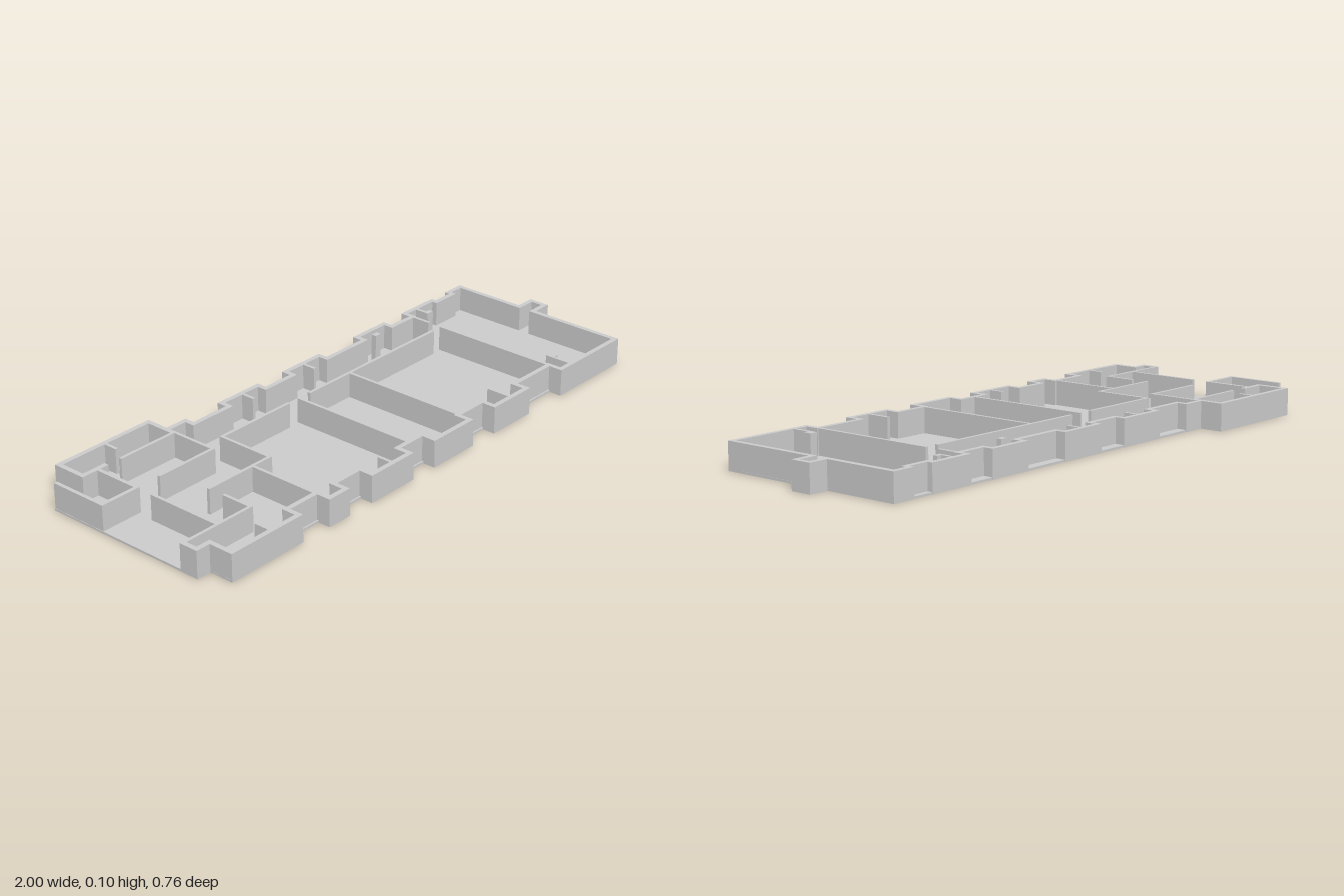
import * as THREE from 'three';

const TOP = 0.093, SLAB = 0.007, OUTER = 0.017, INNER = 0.011;

export function createModel() {
  const model = new THREE.Group();
  const mat = new THREE.MeshStandardMaterial({ color: 0xcccccc, flatShading: true });

  function box(name, parent, x0, x1, y0, y1, z0, z1) {
    const mesh = new THREE.Mesh(new THREE.BoxGeometry(x1 - x0, y1 - y0, z1 - z0), mat);
    mesh.position.set((x0 + x1) / 2, (y0 + y1) / 2, (z0 + z1) / 2);
    mesh.name = name;
    parent.add(mesh);
  }

  // Straight wall between two plan points, squared off past both ends
  function wall(name, parent, a, b, t, y0) {
    const h = t / 2;
    box(name, parent,
      Math.min(a[0], b[0]) - h, Math.max(a[0], b[0]) + h, y0, TOP,
      Math.min(a[1], b[1]) - h, Math.max(a[1], b[1]) + h);
  }

  function wallRun(name, points, t, y0) {
    const group = new THREE.Group();
    group.name = name;
    for (let i = 1; i < points.length; i++) wall(name + 'Segment', group, points[i - 1], points[i], t, y0);
    model.add(group);
  }

  // Plan outline that steps between a bay line and a recess line
  function stepped(recesses, bayZ, recessZ, inset) {
    const points = [];
    for (const [a, b] of recesses) {
      points.push([a - inset, bayZ], [a - inset, recessZ], [b + inset, recessZ], [b + inset, bayZ]);
    }
    return points;
  }

  const frontRecesses = [[-0.652, -0.536], [-0.447, -0.345], [-0.152, -0.05], [0.141, 0.251], [0.435, 0.607]];
  const backRecesses = [[-0.447, -0.302], [-0.118, -0.002], [0.178, 0.352], [0.512, 0.607]];

  // Floor slab, notched along the front recesses
  const outline = [
    [-0.999, -0.302], [-0.999, 0.292], [-0.948, 0.292], [-0.948, 0.379],
    ...stepped(frontRecesses, 0.379, 0.336, 0),
    [0.931, 0.379], [0.931, -0.302],
  ];
  const shape = new THREE.Shape(outline.map(([x, z]) => new THREE.Vector2(x, -z)));
  const slab = new THREE.ExtrudeGeometry(shape, { depth: SLAB, bevelEnabled: false });
  slab.rotateX(-Math.PI / 2);
  const floor = new THREE.Mesh(slab, mat);
  floor.name = 'floor';
  model.add(floor);
  box('backRoomFloor', model, -0.91, -0.537, 0, SLAB, -0.375, -0.302);
  box('alcoveFloor', model, 0.931, 0.99, 0, SLAB, -0.032, 0.026);

  // Outer walls
  wallRun('frontWall', [
    [-0.991, 0.235], [-0.991, 0.285], [-0.939, 0.285], [-0.939, 0.371],
    ...stepped(frontRecesses, 0.371, 0.322, 0.008),
    [0.922, 0.371],
  ].map(([x, z]) => [x, z]), OUTER, 0);
  wallRun('leftEndWall', [
    [0.922, 0.371], [0.922, 0.026], [0.991, 0.026], [0.991, -0.032], [0.922, -0.032], [0.922, -0.295],
  ], OUTER, 0);
  wallRun('backWall', [
    [-0.537, -0.295],
    ...stepped(backRecesses, -0.295, -0.26, 0.008),
    [0.764, -0.295], [0.764, -0.276], [0.855, -0.276], [0.855, -0.295], [0.922, -0.295],
  ], OUTER, 0);
  wallRun('backRoomWall', [
    [-0.537, -0.28], [-0.537, -0.376], [-0.91, -0.376], [-0.91, -0.271], [-0.822, -0.271],
  ], OUTER, 0);
  wallRun('entryRoomWall', [[-0.991, -0.295], [-0.991, -0.1], [-0.853, -0.1], [-0.853, -0.257]], 0.013, 0);

  // Inner partitions
  const partitions = [
    [[-0.757, -0.266], [-0.533, -0.266], [-0.533, -0.1], [-0.757, -0.1]],
    [[-0.726, -0.37], [-0.726, -0.325]],
    [[-0.991, 0.232], [-0.716, 0.232], [-0.716, 0.13]],
    [[-0.853, -0.03], [-0.853, 0.232]],
    [[-0.716, 0.066], [-0.457, 0.066], [-0.457, -0.134], [-0.16, -0.134]],
    [[-0.533, 0.066], [-0.533, 0.322]],
    [[-0.052, -0.134], [0.565, -0.134]],
    [[-0.106, -0.13], [-0.106, 0.315]],
    [[0.139, -0.13], [0.139, 0.315]],
    [[0.614, -0.13], [0.614, 0.315]],
    [[0.614, -0.29], [0.614, -0.19]],
  ];
  for (const run of partitions) wallRun('partition', run, INNER, SLAB);

  // Short stub walls and hooks inside the bays
  const stubs = [
    [[-0.776, 0.37], [-0.776, 0.315]],
    [[-0.24, 0.37], [-0.24, 0.32]],
    [[0.346, 0.37], [0.346, 0.285]],
    [[0.672, 0.37], [0.672, 0.29]],
    [[-0.203, -0.29], [-0.203, -0.245]],
    [[0.088, -0.29], [0.088, -0.245]],
    [[0.672, -0.29], [0.672, -0.24]],
  ];
  for (const run of stubs) wallRun('stubWall', run, INNER, SLAB);
  box('frontHook', model, 0.667, 0.694, SLAB, TOP, 0.272, 0.3);
  box('backHook', model, 0.667, 0.694, SLAB, TOP, -0.25, -0.234);

  // Free-standing post, slightly taller than the walls
  box('post', model, 0.394, 0.42, SLAB, 0.102, -0.256, -0.238);

  return model;
}
